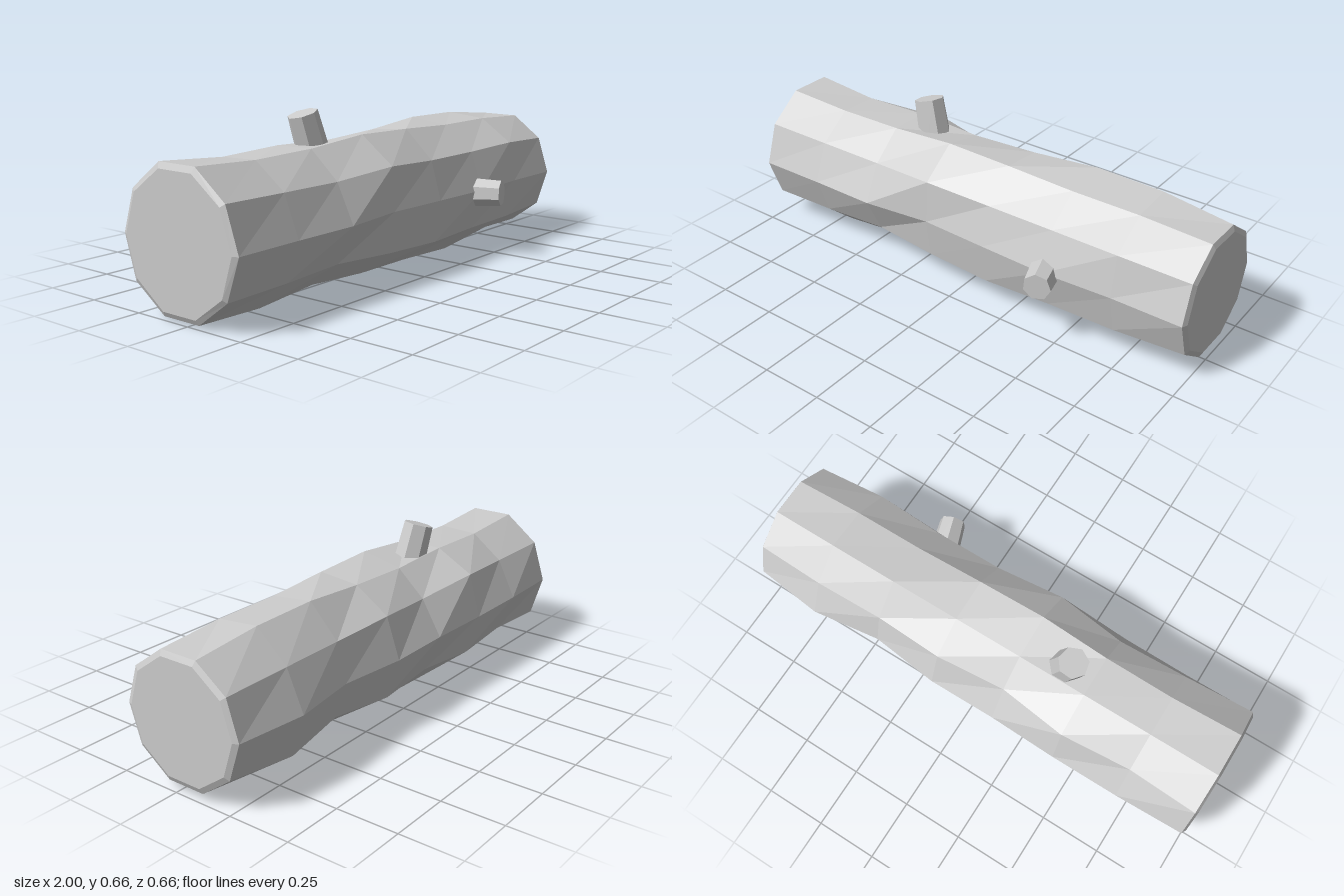
import * as THREE from 'three';

const SIDES = 10;
const CY = 0.28, CZ = -0.04;
const STATIONS = [-0.99, -0.707, -0.424, -0.141, 0.141, 0.424, 0.707, 0.99];

// Radius along the log for each of its ten long edges, starting at the front and going up over the top
const RADII = [
  [0.283, 0.28, 0.283, 0.25, 0.262, 0.272, 0.257, 0.257],
  [0.28, 0.267, 0.258, 0.294, 0.267, 0.267, 0.28, 0.257],
  [0.284, 0.268, 0.273, 0.296, 0.287, 0.273, 0.273, 0.257],
  [0.284, 0.262, 0.27, 0.258, 0.27, 0.294, 0.289, 0.257],
  [0.28, 0.26, 0.294, 0.241, 0.278, 0.26, 0.27, 0.257],
  [0.28, 0.288, 0.288, 0.28, 0.282, 0.25, 0.289, 0.257],
  [0.283, 0.27, 0.29, 0.265, 0.285, 0.25, 0.292, 0.257],
  [0.28, 0.265, 0.265, 0.291, 0.275, 0.25, 0.288, 0.257],
  [0.28, 0.287, 0.265, 0.28, 0.281, 0.29, 0.255, 0.257],
  [0.278, 0.272, 0.258, 0.28, 0.292, 0.28, 0.275, 0.257],
];

function createLogGeometry() {
  const pos = [], index = [];
  const addRing = (x, radius) => {
    for (let k = 0; k < SIDES; k++) {
      const a = (k / SIDES) * Math.PI * 2;
      pos.push(x, CY + radius(k) * Math.sin(a), CZ + radius(k) * Math.cos(a));
    }
  };
  // Chamfered end rings close off the bark rings
  addRing(-1, () => 0.26);
  STATIONS.forEach((x, i) => addRing(x, (k) => RADII[k][i]));
  addRing(1, () => 0.235);
  const rings = STATIONS.length + 2;
  for (let i = 0; i < rings - 1; i++) {
    for (let k = 0; k < SIDES; k++) {
      const n = (k + 1) % SIDES;
      const a = i * SIDES + k, b = a + SIDES;
      const c = (i + 1) * SIDES + n, d = i * SIDES + n;
      index.push(a, b, c, a, c, d);
    }
  }
  // Flat cut faces
  const last = (rings - 1) * SIDES;
  for (let k = 1; k < SIDES - 1; k++) {
    index.push(0, k, k + 1);
    index.push(last, last + k + 1, last + k);
  }
  const geo = new THREE.BufferGeometry();
  geo.setAttribute('position', new THREE.Float32BufferAttribute(pos, 3));
  geo.setIndex(index);
  const flat = geo.toNonIndexed();
  flat.computeVertexNormals();
  return flat;
}

// Tapered stub running from a point inside the log to its cut tip
function createStub(name, base, tip, baseRadius, tipRadius, material) {
  const from = new THREE.Vector3(...base), to = new THREE.Vector3(...tip);
  const axis = to.clone().sub(from);
  const mesh = new THREE.Mesh(
    new THREE.CylinderGeometry(tipRadius, baseRadius, axis.length(), 7), material);
  mesh.name = name;
  mesh.position.copy(from).add(to).multiplyScalar(0.5);
  mesh.quaternion.setFromUnitVectors(new THREE.Vector3(0, 1, 0), axis.normalize());
  return mesh;
}

export function createModel() {
  const group = new THREE.Group();
  group.name = 'log';
  const wood = new THREE.MeshStandardMaterial({ color: 0xcccccc, flatShading: true });
  wood.name = 'pale grey wood';

  const trunk = new THREE.Mesh(createLogGeometry(), wood);
  trunk.name = 'trunk';
  group.add(trunk);

  group.add(createStub('topBranchStub', [-0.295, 0.48, -0.055], [-0.341, 0.652, -0.073], 0.066, 0.06, wood));
  group.add(createStub('frontBranchStub', [0.405, 0.27, 0.16], [0.454, 0.273, 0.31], 0.062, 0.054, wood));
  return group;
}
